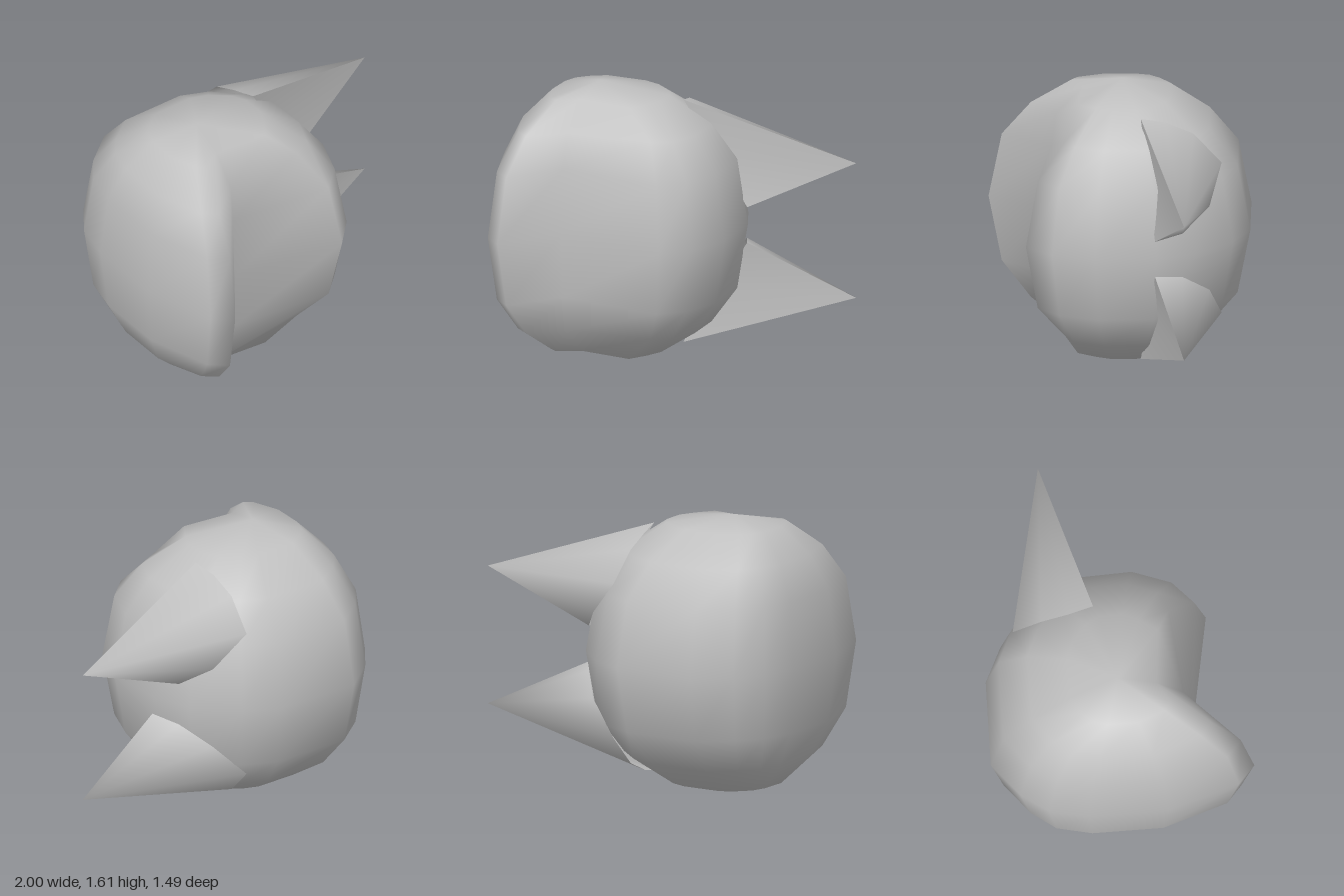
import * as THREE from 'three';

const MID = 0.806; // mirror plane height

function mesh(name, points, index, material) {
  const g = new THREE.BufferGeometry();
  g.setAttribute('position', new THREE.Float32BufferAttribute(points.flat(), 3));
  g.setIndex(index);
  g.computeVertexNormals();
  const m = new THREE.Mesh(g, material);
  m.name = name;
  return m;
}

// Head: one outline (x, z), stacked and shrunk towards both poles
function makeHead(material) {
  const cx = -0.46;
  const outline = [
    [-0.98, -0.23], [-1, 0.22], [-0.89, 0.64], [-0.79, 0.74], [-0.53, 0.42],
    [0.13, 0.58], [0.28, 0.44], [0.38, 0.2], [0.385, -0.15], [0.3, -0.37],
    [0.1, -0.6], [-0.1, -0.71], [-0.6, -0.745], [-0.8, -0.6], [-0.92, -0.45],
  ];
  const NOTCH = 4, BROW = 5;
  // height from the middle, scale in x, in z, at the notch and at the brow
  const half = [
    [0.38, 0.93, 0.9, 0.95, 0.88],
    [0.585, 0.76, 0.68, 0.88, 0.6],
    [0.745, 0.48, 0.38, 0.52, 0.46],
  ];
  const levels = [
    ...half.map(([h, ...s]) => [-h, ...s]).reverse(),
    [0, 1, 1, 1, 1],
    ...half,
  ];
  const n = outline.length, pts = [], idx = [];
  for (const [h, sx, sz, notch, brow] of levels) {
    outline.forEach(([x, z], j) => {
      const s = j === NOTCH ? notch : j === BROW ? brow : sz;
      pts.push([cx + (x - cx) * sx, MID + h, z * s]);
    });
  }
  const bottom = pts.push([cx, 0, 0]) - 1;
  const top = pts.push([cx, 2 * MID, 0]) - 1;
  const last = (levels.length - 1) * n;
  for (let j = 0; j < n; j++) {
    const k = (j + 1) % n;
    for (let i = 0; i < levels.length - 1; i++) {
      const a = i * n + j, b = i * n + k;
      idx.push(a, b, b + n, a, b + n, a + n);
    }
    idx.push(bottom, k, j, top, last + j, last + k);
  }
  return mesh('head', pts, idx, material);
}

// Ear: rounded back shell and slightly hollow front, both meeting in the tip
function makeEar(side, material) {
  const at = ([x, h, z]) => [x, MID + side * h, z];
  const flip = (index) => {
    if (side > 0) return index;
    const out = [];
    for (let i = 0; i < index.length; i += 3) out.push(index[i], index[i + 2], index[i + 1]);
    return out;
  };
  const tip = [1, 0.4, -0.27];
  const base = [
    [0.02, 0.72, -0.08], [0.0, 0.69, -0.22], [0.0, 0.62, -0.38], [0.02, 0.45, -0.54],
    [0.2, 0.25, -0.46], [0.32, 0.13, -0.3], [0.385, 0.105, -0.14],
  ];
  const ear = new THREE.Group();
  ear.name = side > 0 ? 'upperEar' : 'lowerEar';

  const backIndex = [];
  for (let j = 0; j < base.length - 1; j++) backIndex.push(0, j + 2, j + 1);
  ear.add(mesh('earBack', [tip, ...base].map(at), flip(backIndex), material));

  const hollow = [0.3, 0.4, -0.16];
  const front = [tip, base[0], base[6], hollow].map(at);
  ear.add(mesh('earFront', front, flip([0, 1, 3, 1, 2, 3, 2, 0, 3]), material));
  return ear;
}

export function createModel() {
  const grey = new THREE.MeshStandardMaterial({ color: 0xc0c0c0, side: THREE.DoubleSide });
  grey.name = 'light grey';
  const model = new THREE.Group();
  model.name = 'earedHead';
  model.add(makeHead(grey), makeEar(1, grey), makeEar(-1, grey));
  return model;
}
